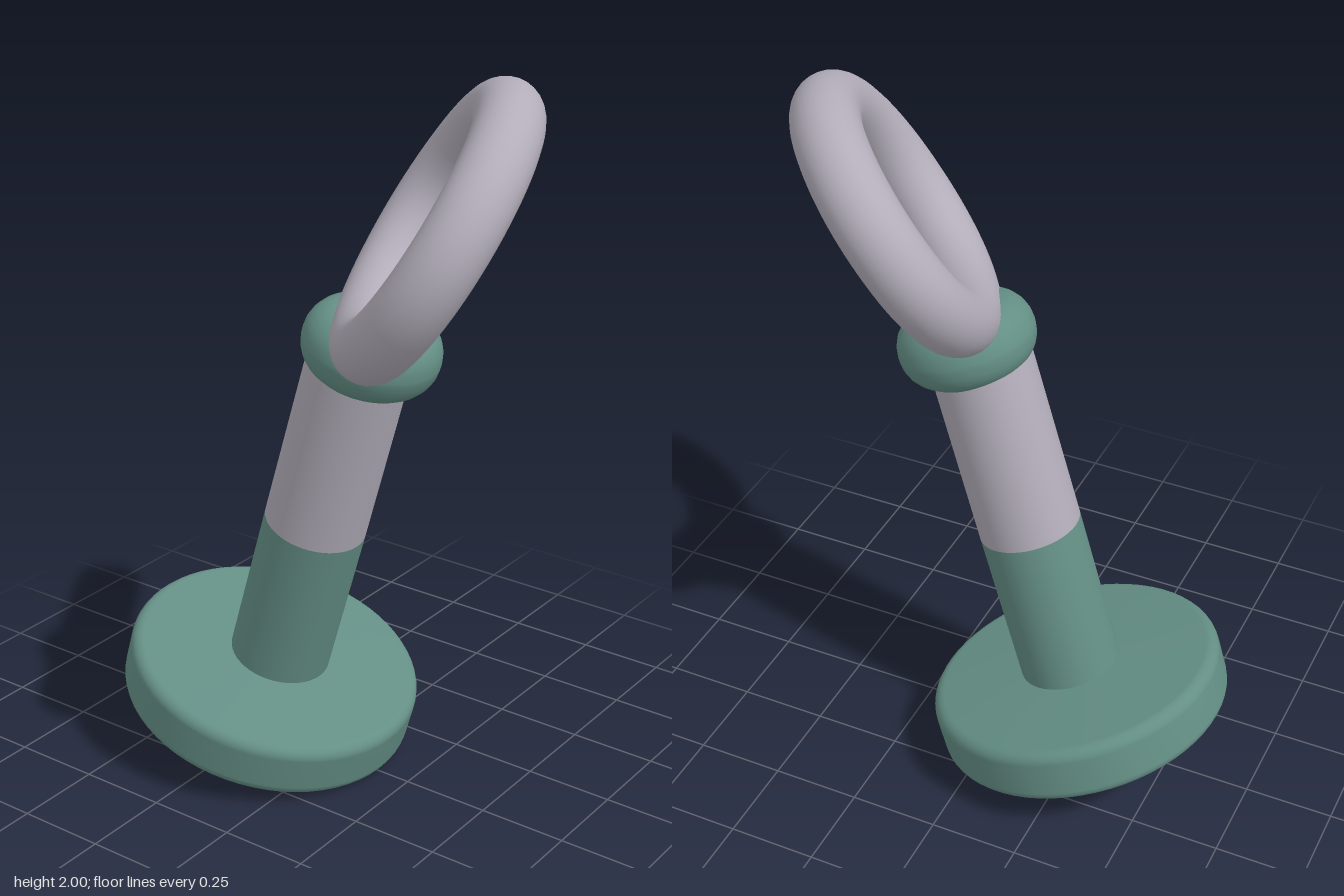
import * as THREE from 'three';

const green = new THREE.MeshStandardMaterial({ color: 0x648f85 });
green.name = 'mutedGreen';
const grey = new THREE.MeshStandardMaterial({ color: 0xb2adb9 });
grey.name = 'paleGrey';

function part(name, geometry, material, parent, x = 0, y = 0, z = 0) {
  const mesh = new THREE.Mesh(geometry, material);
  mesh.name = name;
  mesh.position.set(x, y, z);
  parent.add(mesh);
  return mesh;
}

// Disc with rounded rims, its top rising slightly to the middle
function discGeometry(radius, half, round, rise) {
  const points = [new THREE.Vector2(0, -half), new THREE.Vector2(radius * 0.5, -half)];
  for (const side of [-1, 1]) {
    for (let i = 0; i <= 6; i++) {
      const a = ((side < 0 ? i - 6 : i) / 6) * Math.PI / 2;
      points.push(new THREE.Vector2(
        radius - round + Math.cos(a) * round,
        side * (half - round) + Math.sin(a) * round));
    }
  }
  points.push(new THREE.Vector2(radius * 0.5, half + rise * 0.5), new THREE.Vector2(0, half + rise));
  return new THREE.LatheGeometry(points, 64);
}

export function createModel() {
  const model = new THREE.Group();
  model.name = 'ringHandledStamp';

  // Leaning base, shaft and collar
  const stem = new THREE.Group();
  stem.name = 'stem';
  stem.position.set(-0.005, 0.193, -0.22);
  stem.rotation.set(THREE.MathUtils.degToRad(16.5), 0, 0.012);
  model.add(stem);

  part('baseDisc', discGeometry(0.42, 0.082, 0.034, 0.022), green, stem, 0, 0, -0.007);
  part('lowerShaft', new THREE.CylinderGeometry(0.143, 0.143, 0.53, 48, 1, true), green, stem, 0, 0.297, 0);
  part('upperShaft', new THREE.CylinderGeometry(0.14, 0.143, 0.6, 48, 1, true), grey, stem, 0, 0.862, 0);
  part('collar', discGeometry(0.188, 0.095, 0.09, 0), green, stem, 0, 1.15, 0.024);

  // Shallow uneven ridges under the base
  [[0, 0, 0.3], [0.03, 0.02, 1.4], [-0.04, 0.01, 2.3], [0.01, -0.04, 2.8]].forEach(([x, z, turn]) => {
    const ridge = part('undersideRidge', new THREE.SphereGeometry(1, 16, 10), green, stem, x, -0.08, z);
    ridge.scale.set(0.085, 0.022, 0.026);
    ridge.rotation.y = turn;
  });

  // Tilted oval ring; local -y points to the collar, where it is flatter
  const normal = new THREE.Vector3(0.467, -0.535, 0.704).normalize();
  const up = new THREE.Vector3(0.005, 0.797, 0.602);
  up.addScaledVector(normal, -up.dot(normal)).normalize();
  const path = [];
  for (let i = 0; i < 32; i++) {
    const a = (i / 32) * Math.PI * 2;
    const s = Math.sin(a);
    const v = s < 0 ? -Math.pow(-s, 0.9) : s;
    path.push(new THREE.Vector3(0.374 * Math.cos(a), 0.321 * v, 0));
  }
  const curve = new THREE.CatmullRomCurve3(path, true);
  const ring = part('ringHandle', new THREE.TubeGeometry(curve, 96, 0.09, 28, true), grey, model, 0, 1.635, 0.31);
  ring.setRotationFromMatrix(new THREE.Matrix4().makeBasis(
    new THREE.Vector3().crossVectors(up, normal), up, normal));

  return model;
}
